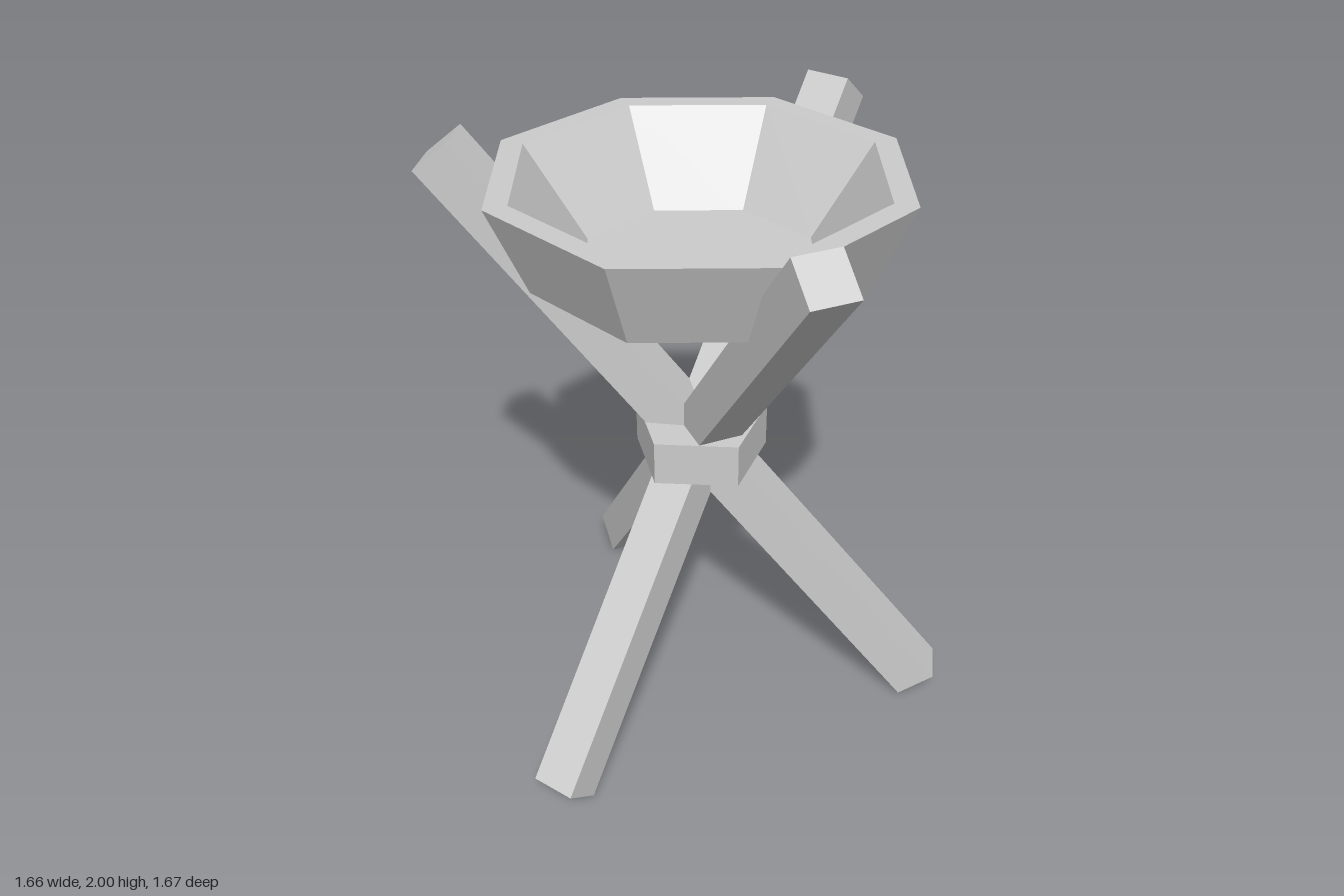
import * as THREE from 'three';

export function createModel() {
  const model = new THREE.Group();
  model.name = 'tripodBrazier';
  const grey = new THREE.MeshStandardMaterial({ color: 0xcccccc });
  grey.name = 'lightGrey';
  grey.flatShading = true;

  const add = (name, geometry) => {
    const mesh = new THREE.Mesh(geometry, grey);
    mesh.name = name;
    model.add(mesh);
    return mesh;
  };

  // Three square beams crossing on the axis; angles give the heading of each top end
  const reach = 0.782, rise = 0.953, thick = 0.147;
  const beamLength = 2 * Math.hypot(reach, rise);
  const headings = { beamFrontLeft: 45, beamRight: 166, beamBack: -77.2 };
  for (const [name, degrees] of Object.entries(headings)) {
    const beam = new THREE.BoxGeometry(thick, beamLength, thick);
    beam.rotateZ(-Math.atan2(reach, rise));
    beam.rotateY(-THREE.MathUtils.degToRad(degrees));
    add(name, beam).position.y = 1;
  }

  // Five-sided collar binding the crossing, one corner pointing to -x
  const collar = new THREE.CylinderGeometry(0.226, 0.226, 0.15, 5, 1, false, -Math.PI / 2);
  add('collar', collar).position.y = 1.01;

  // Eight-sided bowl: pointed underside, outer wall, flat rim, inner wall, flat floor
  const profile = [
    [0, 1.51], [0.532, 1.64], [0.65, 1.92], [0.576, 1.92], [0.373, 1.64], [0, 1.64],
  ].map(([r, y]) => new THREE.Vector2(r, y));
  add('bowl', new THREE.LatheGeometry(profile, 8));

  return model;
}
